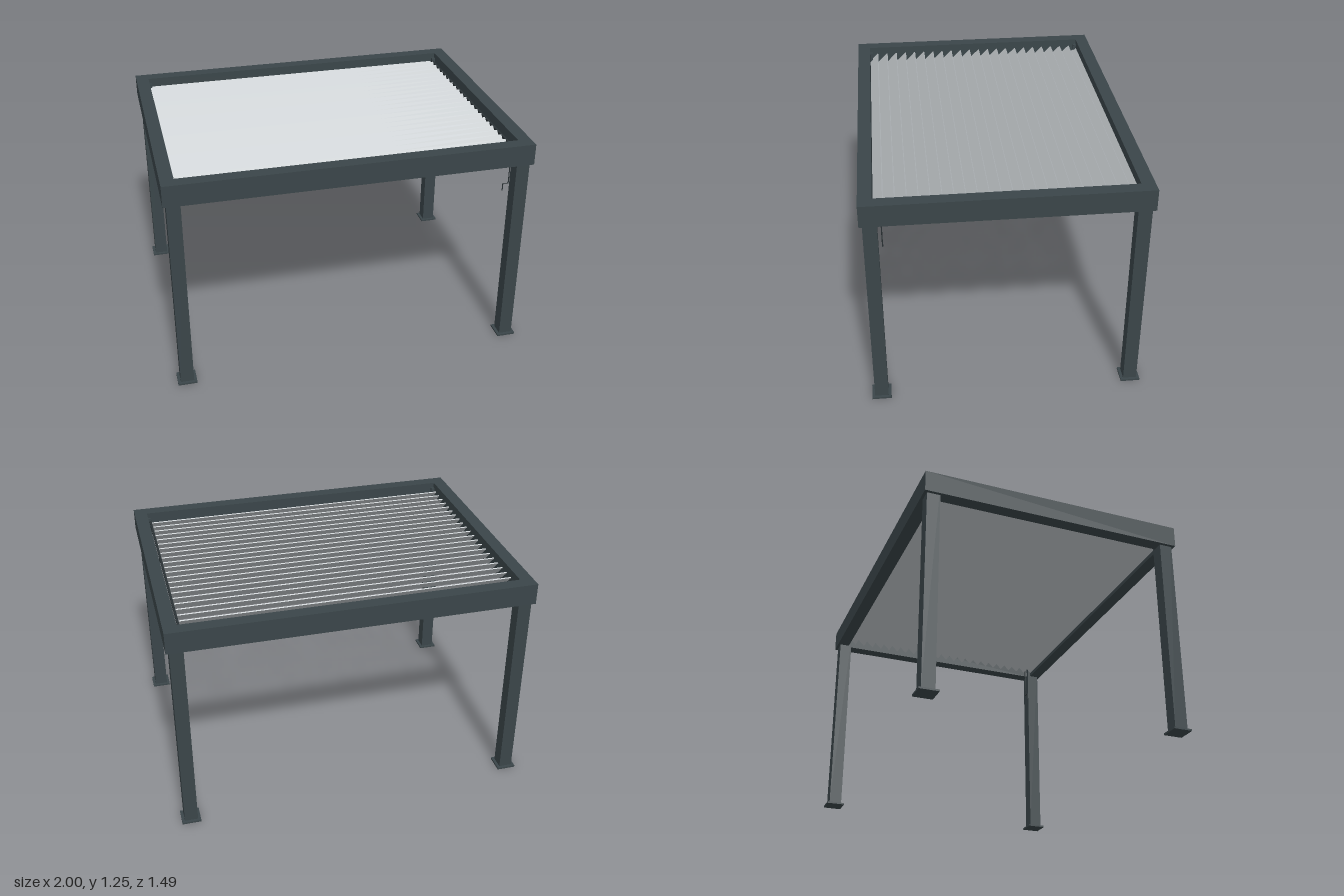
import * as THREE from 'three';

export function createModel() {
  const model = new THREE.Group();
  model.name = 'louveredPergola';

  const frameMat = new THREE.MeshStandardMaterial({ color: 0x3a4549 });
  frameMat.name = 'anthracite';
  const slatMat = new THREE.MeshStandardMaterial({ color: 0xb4b9bc });
  slatMat.name = 'light grey';
  const darkMat = new THREE.MeshStandardMaterial({ color: 0x2a3235 });
  darkMat.name = 'dark grey';

  const add = (parent, name, geometry, material, x = 0, y = 0, z = 0) => {
    const mesh = new THREE.Mesh(geometry, material);
    mesh.name = name;
    mesh.position.set(x, y, z);
    parent.add(mesh);
    return mesh;
  };

  // Roof frame: one rectangular ring of beams
  const rectangle = (path, w, d) => path
    .moveTo(-w, -d).lineTo(w, -d).lineTo(w, d).lineTo(-w, d).closePath();
  const outline = rectangle(new THREE.Shape(), 1, 0.747);
  outline.holes.push(rectangle(new THREE.Path(), 0.927, 0.674));
  const ring = new THREE.ExtrudeGeometry(outline, { depth: 0.12, bevelEnabled: false });
  ring.rotateX(-Math.PI / 2);
  add(model, 'roofFrame', ring, frameMat, 0, 1.13, 0);

  // Four posts on base plates
  const postGeo = new THREE.BoxGeometry(0.074, 1.21, 0.074);
  const plateGeo = new THREE.BoxGeometry(0.106, 0.01, 0.106);
  for (const sx of [-1, 1]) {
    for (const sz of [-1, 1]) {
      const leg = new THREE.Group();
      leg.name = (sz > 0 ? 'front' : 'back') + (sx > 0 ? 'Left' : 'Right') + 'Leg';
      leg.position.set(sx * 0.945, 0, sz * 0.694);
      add(leg, 'post', postGeo, frameMat, 0, 0.615, 0);
      add(leg, 'basePlate', plateGeo, frameMat, 0, 0.005, 0);
      model.add(leg);
    }
  }

  // Tilted roof slats, back edge raised
  const louvers = new THREE.Group();
  louvers.name = 'louvers';
  const slatGeo = new THREE.BoxGeometry(1.83, 0.006, 0.085);
  for (let i = 0; i < 23; i++) {
    const slat = add(louvers, 'slat', slatGeo, slatMat, -0.011, 1.178, -0.658 + i * 0.0596);
    slat.rotation.x = Math.PI / 4;
  }
  model.add(louvers);

  // Link bar that turns the slats together
  add(model, 'linkBar', new THREE.BoxGeometry(0.012, 0.012, 1.34), darkMat, 0.911, 1.2, 0);

  // Hanging crank: rod, arm and grip
  const crank = new THREE.Group();
  crank.name = 'crank';
  const rod = (name, length, x, y) =>
    add(crank, name, new THREE.CylinderGeometry(0.003, 0.003, length, 8), darkMat, x, y, 0.637);
  rod('crankRod', 0.22, 0.912, 1.08);
  rod('crankArm', 0.036, 0.896, 0.97).rotation.z = Math.PI / 2;
  rod('crankGrip', 0.042, 0.88, 0.951);
  model.add(crank);

  return model;
}
